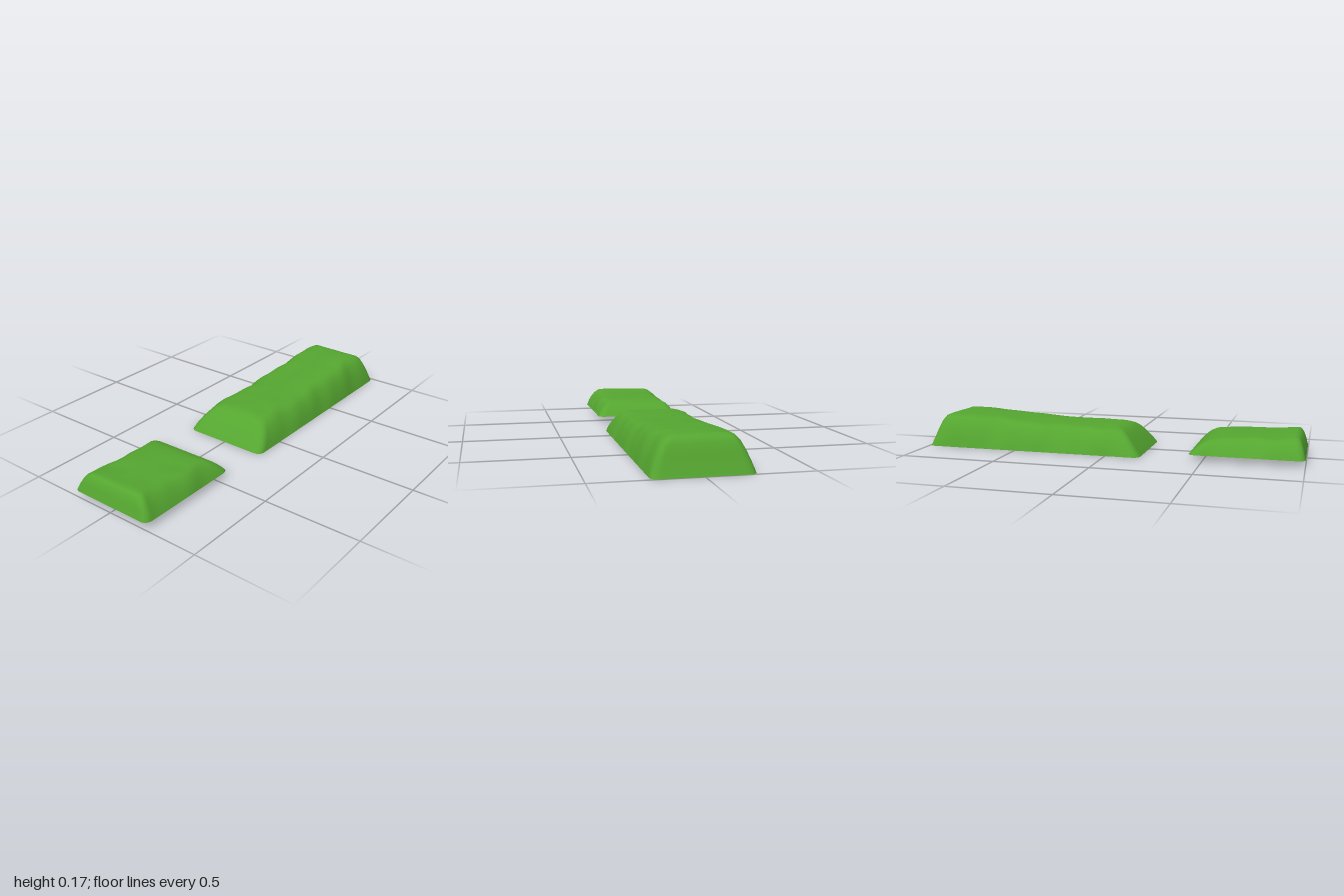
import * as THREE from 'three';

const grass = new THREE.MeshStandardMaterial({ color: 0x55a630 });
grass.name = 'grassGreen';

// Piecewise-linear lookup in [z, value] pairs sorted by rising z
function lookup(table, z) {
  if (z <= table[0][0]) return table[0][1];
  for (let i = 1; i < table.length; i++) {
    const [a, va] = table[i - 1], [b, vb] = table[i];
    if (z <= b) return va + (vb - va) * (z - a) / (b - a);
  }
  return table[table.length - 1][1];
}

// Rounded rectangle footprint, drawn in x and -z
function footprint(x0, x1, z0, z1, r) {
  const s = new THREE.Shape();
  s.absarc(x1 - r, -z0 - r, r, 0, Math.PI / 2);
  s.absarc(x0 + r, -z0 - r, r, Math.PI / 2, Math.PI);
  s.absarc(x0 + r, -z1 + r, r, Math.PI, Math.PI * 1.5);
  s.absarc(x1 - r, -z1 + r, r, Math.PI * 1.5, Math.PI * 2);
  s.closePath();
  return s;
}

// A mound made of inset rings; each ring is [side, back, front, height fraction]
function mound(name, { x0, x1, z0, z1, y, ridge, rings, tilt, seed }) {
  const group = new THREE.Group();
  group.name = name;
  const outline = footprint(x0, x1, z0, z1, 0.035);
  const n = 160;
  const loop = outline.getSpacedPoints(n).slice(0, n);
  const cx = (x0 + x1) / 2, hw = (x1 - x0) / 2;
  const pos = [], index = [];

  rings.forEach(([side, back, front, f], k) => {
    const last = k === rings.length - 1;
    for (const p of loop) {
      const u = (p.x - cx) / hw;
      const t = (-p.y - z0) / (z1 - z0);
      const z = z0 + back + t * (z1 - z0 - back - front);
      // uneven shoulders, strongest halfway up the slope
      const lump = Math.sin(z * 17 + seed + u * 2) + 0.6 * Math.sin(z * 37 + seed * 2 - u * 3);
      const wave = f * (last ? 0 : 1) * lump;
      const inset = Math.min(hw, side + 0.009 * wave);
      const x = cx + u * (hw - inset);
      const h = (lookup(ridge, z) - y) * (f + 0.018 * wave * Math.abs(u));
      pos.push(x, y + h + tilt * x * f, z);
    }
    if (k === 0) return;
    for (let i = 0; i < n; i++) {
      const j = (i + 1) % n, a = (k - 1) * n, b = k * n;
      index.push(a + i, a + j, b + j, a + i, b + j, b + i);
    }
  });

  const geo = new THREE.BufferGeometry();
  geo.setAttribute('position', new THREE.Float32BufferAttribute(pos, 3));
  geo.setIndex(index);
  geo.computeVertexNormals();
  // the spine is pinched to a line, so its normals point straight up
  const normals = geo.attributes.normal;
  for (let i = (rings.length - 1) * n; i < normals.count; i++) normals.setXYZ(i, 0, 1, 0);
  const turf = new THREE.Mesh(geo, grass);
  turf.name = name + 'Turf';

  // flat underside
  const base = new THREE.Mesh(new THREE.ShapeGeometry(outline, 8).rotateX(Math.PI / 2), grass);
  base.geometry.scale(1, 1, -1);
  const idx = base.geometry.index;
  for (let i = 0; i < idx.count; i += 3) {
    const a = idx.getX(i);
    idx.setX(i, idx.getX(i + 1));
    idx.setX(i + 1, a);
  }
  base.geometry.computeVertexNormals();
  base.position.y = y;
  base.name = name + 'Underside';

  group.add(turf, base);
  return group;
}

export function createModel() {
  const model = new THREE.Group();
  model.name = 'grassMounds';

  // long rear mound, rising towards the back
  model.add(mound('longMound', {
    x0: -0.235, x1: 0.232, z0: -1, z1: 0.18, y: 0, tilt: 0, seed: 1.3,
    ridge: [[-0.9, 0.172], [-0.75, 0.169], [-0.45, 0.147], [-0.3, 0.138], [0, 0.134], [0.06, 0.13]],
    rings: [
      [0, 0, 0, 0], [0.012, 0.018, 0.025, 0.25], [0.03, 0.032, 0.055, 0.52],
      [0.052, 0.048, 0.085, 0.76], [0.075, 0.063, 0.11, 0.9], [0.1, 0.085, 0.135, 0.965],
      [0.14, 0.11, 0.16, 0.985], [0.235, 0.17, 0.22, 1],
    ],
  }));

  // short front mound, raised slightly and falling towards the back
  model.add(mound('shortMound', {
    x0: -0.237, x1: 0.226, z0: 0.43, z1: 1, y: 0.032, tilt: 0.02, seed: 4.1,
    ridge: [[0.5, 0.108], [0.6, 0.117], [0.7, 0.122], [0.85, 0.124], [0.95, 0.135]],
    rings: [
      [0, 0, 0, 0], [0.013, 0.02, 0.008, 0.28], [0.03, 0.042, 0.016, 0.55],
      [0.048, 0.065, 0.026, 0.78], [0.068, 0.09, 0.038, 0.93], [0.09, 0.12, 0.055, 0.975],
      [0.13, 0.15, 0.08, 0.985], [0.232, 0.2, 0.13, 1],
    ],
  }));

  return model;
}
